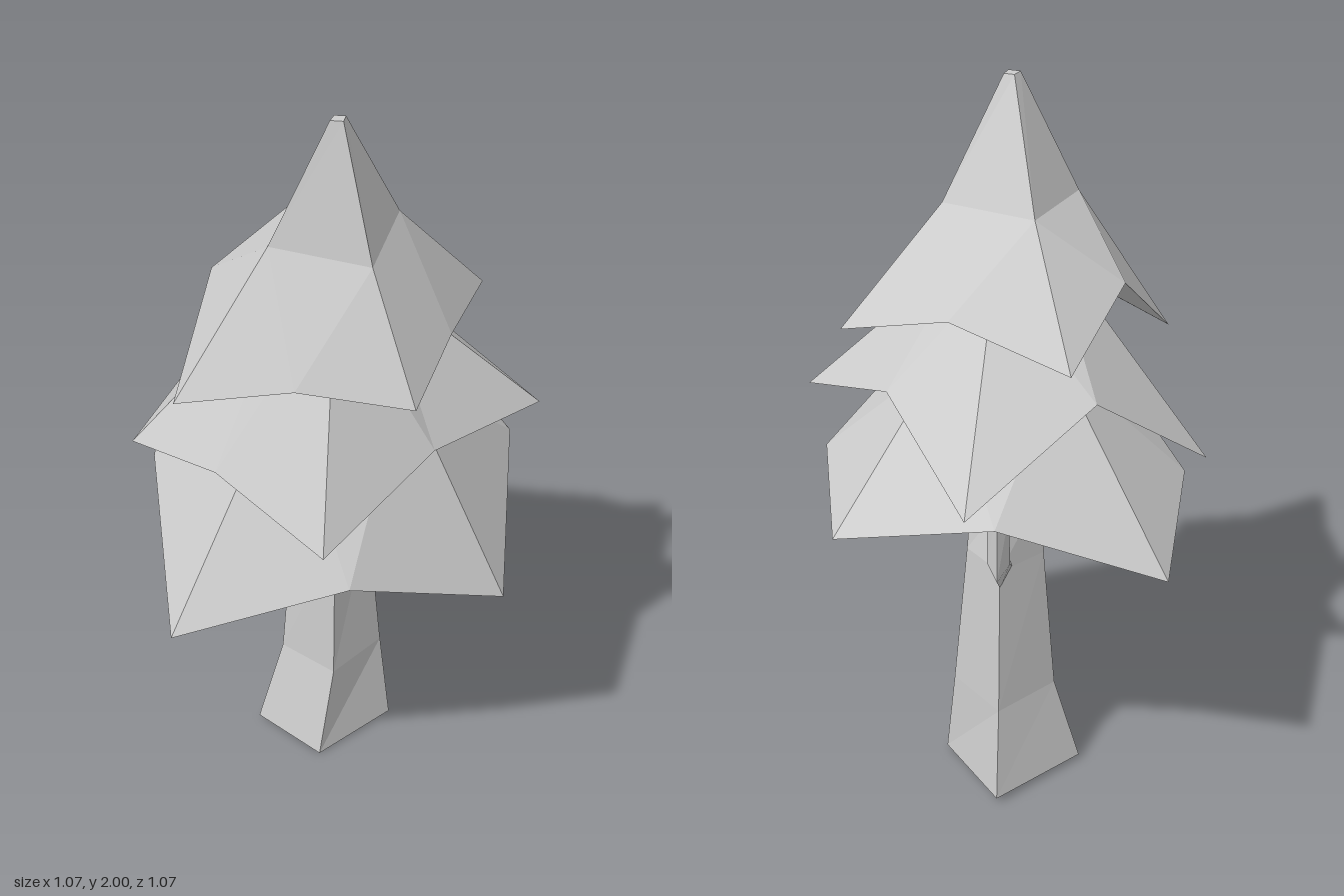
import * as THREE from 'three';

const grey = new THREE.MeshStandardMaterial({ color: 0xcccccc, flatShading: true });
grey.name = 'paleGrey';

// Rings list points clockwise seen from above: left, back, right, front.
function addMesh(group, name, triangles) {
  const geometry = new THREE.BufferGeometry();
  geometry.setAttribute('position', new THREE.Float32BufferAttribute(triangles.flat(2), 3));
  geometry.computeVertexNormals();
  const mesh = new THREE.Mesh(geometry, grey);
  mesh.name = name;
  group.add(mesh);
}

// Walls between two rings of equal count
function walls(lower, upper) {
  return lower.flatMap((a, i) => {
    const j = (i + 1) % lower.length;
    return [[lower[j], a, upper[i]], [lower[j], upper[i], upper[j]]];
  });
}

// Fan closing a ring, facing down or up
function cap(ring, centre, up) {
  return ring.map((p, i) => {
    const q = ring[(i + 1) % ring.length];
    return up ? [centre, q, p] : [centre, p, q];
  });
}

function middle(ring) {
  return [0, 1, 2].map(k => ring.reduce((sum, p) => sum + p[k], 0) / ring.length);
}

// Closed solid skinned over a stack of rings
function loft(rings) {
  const last = rings[rings.length - 1];
  const tris = [...cap(rings[0], middle(rings[0]), false), ...cap(last, middle(last), true)];
  for (let i = 0; i + 1 < rings.length; i++) tris.push(...walls(rings[i], rings[i + 1]));
  return tris;
}

// Star-shaped skirt: drooping corners with raised notches between them
function tier({ corners, notches, rings, under }) {
  const inner = rings[0], rim = [], tris = [];
  corners.forEach((c, i) => {
    const j = (i + 1) % corners.length, n = notches[i];
    rim.push(c, n);
    tris.push([n, c, inner[i]], [n, inner[i], inner[j]], [corners[j], n, inner[j]]);
  });
  for (let i = 0; i + 1 < rings.length; i++) tris.push(...walls(rings[i], rings[i + 1]));
  const last = rings[rings.length - 1];
  tris.push(...cap(last, middle(last), true), ...cap(rim, under, false));
  return tris;
}

export function createModel() {
  const tree = new THREE.Group();
  tree.name = 'tree';

  // Flared four-sided trunk
  addMesh(tree, 'trunk', loft([
    [[-0.22, 0.015, -0.045], [0, 0.02, -0.265], [0.168, 0.01, -0.03], [-0.055, 0, 0.12]],
    [[-0.145, 0.28, -0.05], [0, 0.28, -0.2], [0.14, 0.28, -0.05], [-0.01, 0.28, 0.085]],
    [[-0.11, 0.72, -0.05], [0, 0.72, -0.16], [0.1, 0.72, -0.05], [-0.005, 0.72, 0.07]],
    [[-0.12, 0.93, -0.03], [-0.02, 0.93, -0.11], [0.085, 0.93, -0.03], [-0.005, 0.93, 0.07]],
  ]));

  // Bent stub at the back of the trunk
  addMesh(tree, 'branch', loft([
    [[-0.03, 0.72, -0.125], [0, 0.66, -0.15], [0.03, 0.72, -0.125], [0, 0.79, -0.115]],
    [[-0.03, 0.77, -0.195], [0, 0.74, -0.24], [0.03, 0.77, -0.195], [0, 0.85, -0.17]],
    [[-0.03, 0.94, -0.2], [0, 0.95, -0.23], [0.03, 0.94, -0.2], [0, 0.935, -0.17]],
  ]));

  // Lowest skirt: corners on the diagonals
  addMesh(tree, 'lowerFoliage', tier({
    corners: [[-0.445, 0.905, -0.44], [0.39, 0.985, -0.445], [0.405, 0.75, 0.37], [-0.46, 0.695, 0.385]],
    notches: [[-0.02, 1.07, -0.505], [0.48, 1.01, -0.02], [-0.01, 0.89, 0.48], [-0.48, 0.985, -0.03]],
    rings: [[[-0.15, 1.34, -0.13], [0.15, 1.34, -0.13], [0.15, 1.34, 0.22], [-0.15, 1.34, 0.22]]],
    under: [-0.11, 0.91, -0.015],
  }));

  // Middle skirt: corners on the axes
  addMesh(tree, 'middleFoliage', tier({
    corners: [[-0.535, 1.03, -0.035], [0.05, 1.11, -0.535], [0.535, 1.15, 0.065], [-0.08, 1.03, 0.53]],
    notches: [[-0.25, 1.29, -0.25], [0.28, 1.28, -0.21], [0.22, 1.18, 0.31], [-0.325, 1.11, 0.25]],
    rings: [[[-0.11, 1.57, 0.08], [0.02, 1.55, -0.06], [0.1, 1.55, 0.09], [-0.02, 1.6, 0.22]]],
    under: [0, 1.4, 0.05],
  }));

  // Top skirt with its narrowing peak
  addMesh(tree, 'upperFoliage', tier({
    corners: [[-0.19, 1.42, -0.36], [0.405, 1.41, -0.13], [0.158, 1.35, 0.387], [-0.42, 1.295, 0.21]],
    notches: [[0.12, 1.49, -0.23], [0.275, 1.43, 0.17], [-0.13, 1.39, 0.34], [-0.305, 1.53, -0.05]],
    rings: [
      [[-0.08, 1.7, -0.078], [0.16, 1.7, 0.02], [0.068, 1.66, 0.235], [-0.175, 1.69, 0.16]],
      [[-0.012, 2, 0.12], [0.015, 2, 0.127], [0.006, 2, 0.158], [-0.025, 2, 0.15]],
    ],
    under: [0, 1.59, 0.07],
  }));

  return tree;
}
